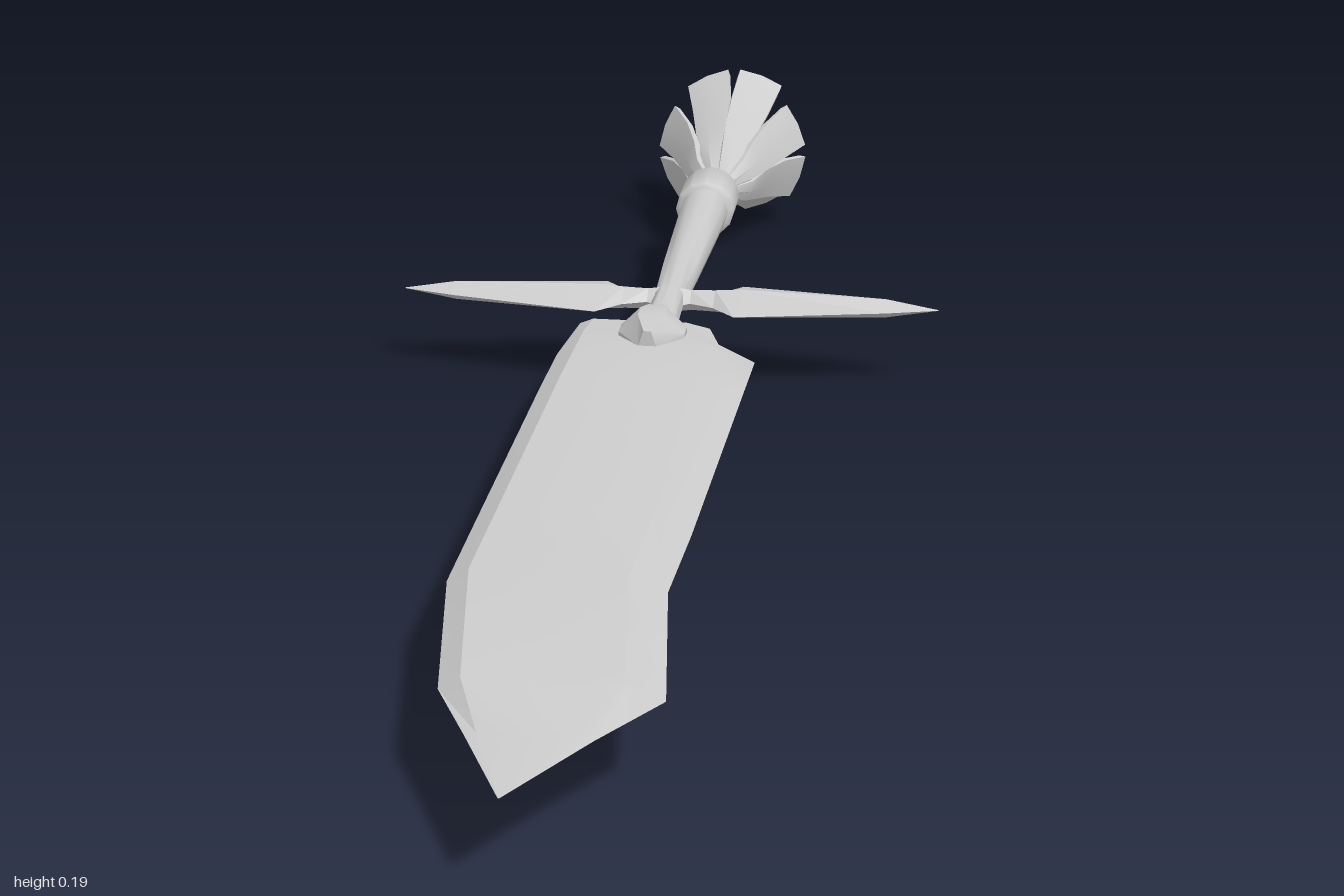
import * as THREE from 'three';
import { toCreasedNormals } from 'three/addons/utils/BufferGeometryUtils.js';

const CY = 0.083; // height of the sword's long axis
const material = new THREE.MeshStandardMaterial({ color: 0xcccccc, side: THREE.DoubleSide });

// Skin a list of equal-length rings of [x, y, z] points, capped at both ends
function loft(rings, crease = 0.6) {
  const n = rings[0].length, pts = rings.flat(), index = [];
  for (let i = 0; i < rings.length - 1; i++) {
    for (let j = 0; j < n; j++) {
      const a = i * n + j, b = i * n + (j + 1) % n;
      index.push(a, b, b + n, a, b + n, a + n);
    }
  }
  const last = (rings.length - 1) * n;
  for (let j = 1; j < n - 1; j++) {
    index.push(0, j + 1, j, last, last + j, last + j + 1);
  }
  // Turn the faces outward if the signed volume is negative
  const v = pts.map((p) => new THREE.Vector3(...p));
  let volume = 0;
  for (let i = 0; i < index.length; i += 3) {
    volume += v[index[i]].dot(v[index[i + 1]].clone().cross(v[index[i + 2]]));
  }
  if (volume < 0) index.reverse();
  const g = new THREE.BufferGeometry();
  g.setAttribute('position', new THREE.Float32BufferAttribute(pts.flat(), 3));
  g.setIndex(index);
  return toCreasedNormals(g, crease);
}

// Revolve [radius, z] points around the long axis
function turned(profile, sides) {
  const g = new THREE.LatheGeometry(profile.map(([r, z]) => new THREE.Vector2(r, z)), sides);
  g.rotateX(Math.PI / 2);
  return toCreasedNormals(g, 0.9);
}

export function createModel() {
  const sword = new THREE.Group();
  sword.name = 'sword';
  const add = (name, geometry, parent = sword) => {
    const mesh = new THREE.Mesh(geometry, material);
    mesh.name = name;
    parent.add(mesh);
    return mesh;
  };

  // Blade: [z, left edge, right edge, half thickness]
  const stations = [
    [-0.217, -0.09, 0.058, 0.006], [-0.164, -0.095, 0.074, 0.01], [-0.11, -0.1, 0.12, 0.013],
    [0.0, -0.102, 0.118, 0.014], [0.4, -0.105, 0.111, 0.014], [0.545, -0.106, 0.106, 0.014],
    [0.79, -0.07, 0.135, 0.013], [0.88, -0.031, 0.083, 0.002], [1.0, 0.019, 0.021, 0.0005],
  ];
  add('blade', loft(stations.map(([z, l, r, h]) => {
    const a = l + (r - l) * 0.1, b = r - (r - l) * 0.18;
    return [[l, 0, z], [a, h, z], [b, h, z], [r, 0, z], [b, -h, z], [a, -h, z]];
  }), 0.35));

  // Grip, collar at its rear and wedge-shaped socket on the blade
  add('grip', turned([[0, -0.7], [0.03, -0.7], [0.028, -0.6], [0.023, -0.42],
    [0.018, -0.3], [0.022, -0.16], [0, -0.16]], 12));
  add('collar', turned([[0, -0.735], [0.03, -0.738], [0.036, -0.73], [0.036, -0.665],
    [0.03, -0.66], [0, -0.66]], 12));
  const socket = [[-0.2, 0.024, 0.032], [-0.175, 0.037, 0.037], [-0.15, 0.037, 0.037], [-0.113, 0.01, 0.03]];
  add('bladeSocket', loft(socket.map(([z, rx, ry]) => Array.from({ length: 8 }, (_, i) => {
    const t = (i + 0.5) * Math.PI / 4;
    return [1.08 * rx * Math.cos(t), 1.08 * ry * Math.sin(t), z];
  }))));

  // Crossguard: a diamond-section wing on each side, [x, half depth, half thickness]
  const wing = [[0, 0.036, 0.016], [0.025, 0.014, 0.012], [0.053, 0.026, 0.013],
    [0.08, 0.056, 0.015], [0.25, 0.019, 0.011], [0.31, 0.001, 0.0005]];
  for (const [name, s] of [['leftGuardWing', 1], ['rightGuardWing', -1]]) {
    add(name, loft(wing.map(([x, d, h]) =>
      [[s * x, h, -0.315], [s * x, 0, -0.315 + d], [s * x, -h, -0.315], [s * x, 0, -0.315 - d]]), 0.2));
  }

  // Flower pommel: a bud inside a ring of eight flaring petals
  const flower = new THREE.Group();
  flower.name = 'flowerPommel';
  sword.add(flower);
  add('bud', turned([[0, -1], [0.022, -0.988], [0.038, -0.968], [0.043, -0.94],
    [0.038, -0.89], [0.026, -0.82], [0.005, -0.745]], 10), flower);
  // Petal stations: [fraction of length, radius, half width]
  const petal = [[0, 0.006, 0.004], [0.25, 0.034, 0.014], [0.5, 0.046, 0.021],
    [0.78, 0.064, 0.026], [1, 0.087, 0.029]];
  for (let i = 0; i < 8; i++) {
    const angle = (25 + 45 * i) * Math.PI / 180;
    const length = Math.abs(Math.sin(angle)) > 0.6 ? 0.228 : 0.175;
    const mesh = add('petal' + (i + 1), loft(petal.map(([f, r, w]) => {
      const z = -0.745 - f * length, t = 0.004;
      return [[r - t, -w, z], [r + t, -w, z - t], [r + t + 0.003, 0, z - t],
        [r + t, w, z - t], [r - t, w, z], [r - t + 0.003, 0, z]];
    })), flower);
    mesh.rotation.z = angle;
    mesh.position.x = 0.006;
  }

  for (const part of sword.children) part.position.y = CY;
  return sword;
}
